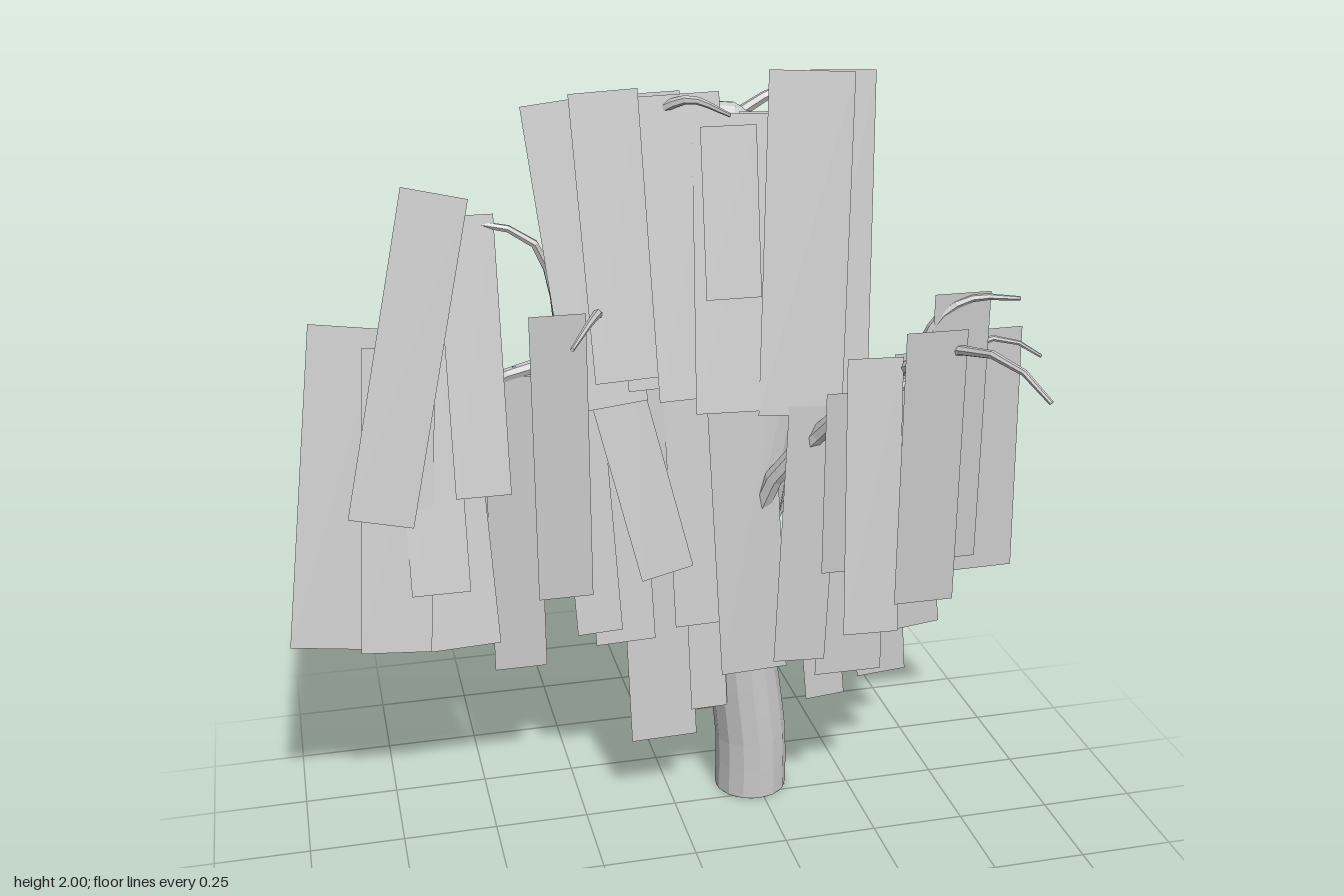
import * as THREE from 'three';

export function createModel() {
  const model = new THREE.Group();
  model.name = 'willowTree';
  const bark = new THREE.MeshStandardMaterial({ color: 0xc8c8c8, flatShading: true, side: THREE.DoubleSide });
  bark.name = 'grey';

  // Tapered tube: points are [x, y, z], radii are spread evenly along the path
  function limb(name, points, radii, segments, sides) {
    const curve = new THREE.CatmullRomCurve3(points.map(p => new THREE.Vector3(...p)));
    const geo = new THREE.TubeGeometry(curve, segments, 1, sides, false);
    const pos = geo.attributes.position;
    const v = new THREE.Vector3();
    for (let i = 0; i <= segments; i++) {
      const t = i / segments;
      const f = t * (radii.length - 1);
      const k = Math.min(Math.floor(f), radii.length - 2);
      const r = THREE.MathUtils.lerp(radii[k], radii[k + 1], f - k);
      const c = curve.getPointAt(t);
      for (let j = 0; j <= sides; j++) {
        const n = i * (sides + 1) + j;
        v.fromBufferAttribute(pos, n).sub(c).multiplyScalar(r).add(c);
        pos.setXYZ(n, v.x, v.y, v.z);
      }
    }
    geo.computeVertexNormals();
    const mesh = new THREE.Mesh(geo, bark);
    mesh.name = name;
    model.add(mesh);
  }

  // Trunk, swaying and drooping over at the top
  limb('trunk', [
    [0.235, 0, -0.32], [0.235, 0.15, -0.32], [0.207, 0.42, -0.32], [0.205, 0.7, -0.32], [0.25, 0.98, -0.32],
    [0.31, 1.3, -0.325], [0.32, 1.57, -0.33], [0.28, 1.77, -0.335], [0.18, 1.875, -0.34],
    [0.04, 1.895, -0.345], [-0.12, 1.885, -0.345], [-0.25, 1.84, -0.345],
  ], [0.1, 0.097, 0.09, 0.082, 0.073, 0.064, 0.052, 0.03, 0.008], 28, 14);
  const base = new THREE.Mesh(new THREE.CircleGeometry(0.1, 14), bark);
  base.name = 'trunkBase';
  base.rotation.x = Math.PI / 2;
  base.position.set(0.235, 0, -0.32);
  model.add(base);

  // Main branches
  limb('rightBranch', [[0.3, 1.14, -0.33], [0.22, 1.29, -0.37], [0.1, 1.345, -0.375], [-0.18, 1.3, -0.365],
    [-0.44, 1.24, -0.37], [-0.59, 1.13, -0.38], [-0.63, 1.04, -0.385]], [0.034, 0.026, 0.018, 0.008], 14, 7);
  limb('frontBranch', [[0.21, 0.7, -0.3], [0.26, 0.95, -0.24], [0.37, 1.12, -0.15], [0.45, 1.27, -0.02],
    [0.52, 1.38, 0.12], [0.6, 1.44, 0.25], [0.67, 1.42, 0.36], [0.72, 1.36, 0.42]], [0.028, 0.024, 0.016, 0.006], 14, 7);
  limb('leftBranch', [[0.23, 0.72, -0.31], [0.35, 0.95, -0.3], [0.5, 1.1, -0.29], [0.66, 1.19, -0.28],
    [0.78, 1.26, -0.27], [0.87, 1.29, -0.262], [0.93, 1.275, -0.255], [0.995, 1.235, -0.245]],
  [0.026, 0.02, 0.013, 0.005], 14, 7);

  // Twigs
  const twigs = [
    [[-0.26, 1.3, -0.36], [-0.29, 1.52, -0.36], [-0.34, 1.61, -0.35], [-0.45, 1.645, -0.37], [-0.61, 1.64, -0.39]],
    [[-0.53, 1.18, -0.375], [-0.62, 1.16, -0.385], [-0.69, 1.12, -0.39]],
    [[-0.12, 1.3, -0.355], [-0.18, 1.43, -0.26], [-0.22, 1.44, -0.17], [-0.285, 1.41, -0.06]],
    [[0.52, 1.38, 0.09], [0.57, 1.48, 0.1], [0.64, 1.52, 0.11], [0.76, 1.515, 0.12]],
    [[-0.05, 1.89, -0.34], [0.05, 1.94, -0.28], [0.15, 1.9, -0.27]],
    [[0.17, 1.88, -0.34], [0.28, 1.94, -0.34], [0.4, 1.96, -0.35], [0.53, 1.93, -0.36]],
  ];
  for (const path of twigs) limb('twig', path, [0.015, 0.011, 0.005], 8, 6);

  // Hanging leaf sheet: a quad from top centre to bottom centre
  function sheet(name, [tx, ty, tz], [bx, by, bz], width) {
    const dx = tx - bx, dy = ty - by, len = Math.hypot(dx, dy);
    const sx = dy / len * width / 2, sy = -dx / len * width / 2;
    const geo = new THREE.BufferGeometry();
    geo.setAttribute('position', new THREE.Float32BufferAttribute([
      bx - sx, by - sy, bz, bx + sx, by + sy, bz, tx + sx, ty + sy, tz, tx - sx, ty - sy, tz], 3));
    geo.setIndex([0, 1, 2, 0, 2, 3]);
    geo.computeVertexNormals();
    const mesh = new THREE.Mesh(geo, bark);
    mesh.name = name;
    model.add(mesh);
  }

  // z runs from top to bottom; each entry: top x, top y, bottom x, bottom y, width
  const sets = {
    crownRightLeaves: { z: [-0.34, -0.22], list: [
      [-0.25, 1.94, -0.17, 1.2, 0.2], [-0.15, 1.96, -0.12, 1.27, 0.17], [-0.05, 1.95, -0.03, 1.24, 0.18]] },
    crownLeaves: { z: [-0.305, -0.175], list: [
      [0.03, 1.95, 0.05, 1.22, 0.2], [0.16, 1.9, 0.14, 1.18, 0.2], [0.24, 1.9, 0.22, 1.2, 0.12],
      [0.36, 1.995, 0.31, 1.16, 0.22]] },
    crownLeftLeaves: { z: [-0.34, -0.21], list: [[0.455, 1.985, 0.42, 1.1, 0.17]] },
    crownFrontLeaves: { z: [-0.25, -0.18], list: [[0.14, 1.88, 0.14, 1.47, 0.14]] },
    rightLeaves: { z: [-0.37, -0.245], list: [
      [-0.795, 1.41, -0.91, 0.6, 0.18], [-0.56, 1.73, -0.75, 0.935, 0.165], [-0.49, 1.67, -0.49, 0.98, 0.14],
      [-0.67, 1.35, -0.735, 0.575, 0.18], [-0.58, 1.25, -0.555, 0.565, 0.18], [-0.61, 1.35, -0.61, 0.72, 0.15]] },
    rightStraightLeaves: { z: [-0.37, -0.365], list: [
      [-0.5, 1.24, -0.49, 0.7, 0.16], [-0.4, 1.25, -0.4, 0.425, 0.14], [-0.31, 1.28, -0.28, 0.71, 0.16]] },
    innerLeaves: { z: [-0.36, -0.255], list: [
      [-0.15, 1.3, -0.13, 0.52, 0.16], [-0.05, 1.31, -0.03, 0.22, 0.18],
      [0.06, 1.33, 0.075, 0.55, 0.14], [0.08, 1.25, 0.095, 0.3, 0.1], [-0.23, 1.29, -0.2, 0.56, 0.12]] },
    innerFrontLeaves: { z: [-0.3, -0.21], list: [[-0.15, 1.27, -0.025, 0.73, 0.14]] },
    trunkLeaves: { z: [-0.26, -0.2], list: [[0.18, 1.2, 0.21, 0.42, 0.18]] },
    centreLeaves: { z: [-0.16, -0.12], list: [[0.35, 1.18, 0.31, 0.48, 0.14]] },
    twigLeaves: { z: [-0.178, -0.172], list: [[-0.3, 1.46, -0.3, 0.71, 0.14]] },
    leftLeaves: { z: [-0.31, -0.285], list: [
      [0.87, 1.3, 0.875, 0.615, 0.19], [0.75, 1.27, 0.74, 0.68, 0.16], [0.69, 1.25, 0.69, 0.6, 0.16],
      [0.61, 1.2, 0.69, 0.465, 0.14], [0.54, 1.16, 0.6, 0.325, 0.14]] },
    lowLeaves: { z: [-0.31, -0.27], list: [
      [0.37, 1.07, 0.435, 0.275, 0.11], [0.5, 1.13, 0.495, 0.35, 0.19], [0.4, 1.1, 0.395, 0.57, 0.14]] },
    frontLeaves: { z: [0.215, 0.215], list: [[0.52, 1.48, 0.52, 0.79, 0.15]] },
    frontTwigLeaves: { z: [0.11, 0.11], list: [[0.62, 1.535, 0.62, 0.85, 0.14]] },
    frontSlantLeaves: { z: [0.08, 0.18], list: [[0.42, 1.38, 0.4, 0.7, 0.14]] },
    frontInnerLeaves: { z: [0.005, 0.005], list: [[0.395, 1.27, 0.395, 0.79, 0.14]] },
  };
  for (const [name, { z, list }] of Object.entries(sets)) {
    list.forEach(([tx, ty, bx, by, w], i) => {
      const off = ((i * 3) % 5) * 0.004;
      sheet(name, [tx, ty, z[0] + off], [bx, by, z[1] + off], w);
    });
  }
  return model;
}
